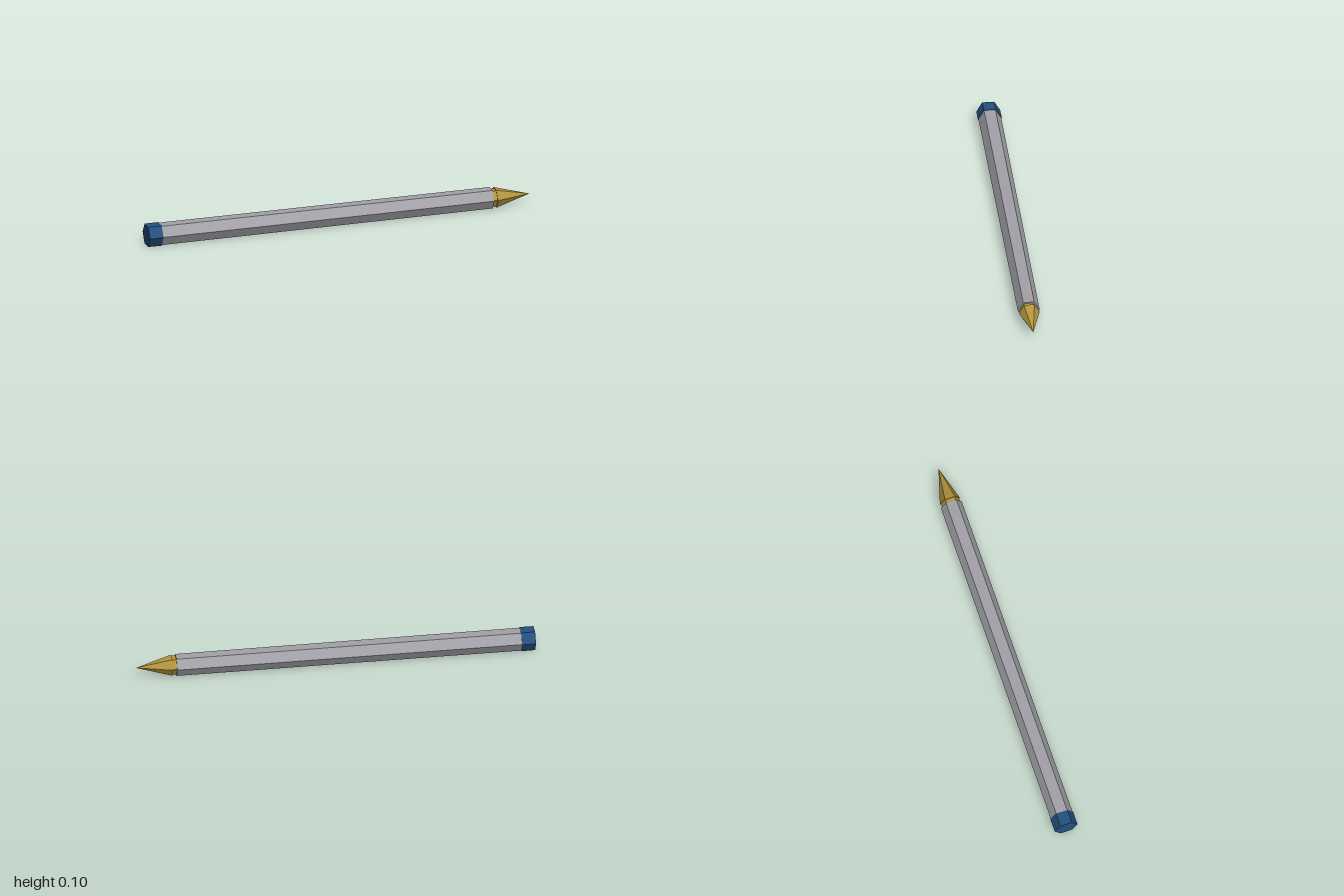
import * as THREE from 'three';

const AXIS_Y = 0.052;

function material(name, color) {
  const m = new THREE.MeshStandardMaterial({ color });
  m.name = name;
  return m;
}

// Six-sided section along x, with a corner pointing to +z and flat facets
function hexSection(name, mat, x0, x1, r0, r1) {
  const indexed = new THREE.CylinderGeometry(r1, r0, x1 - x0, 6);
  const geometry = indexed.toNonIndexed();
  geometry.computeVertexNormals();
  geometry.rotateZ(-Math.PI / 2);
  const mesh = new THREE.Mesh(geometry, mat);
  mesh.name = name;
  mesh.position.set((x0 + x1) / 2, AXIS_Y, 0);
  return mesh;
}

export function createModel() {
  const grey = material('grey metal', 0xa3a2a8);
  const gold = material('gold', 0xb4953f);
  const blue = material('blue', 0x24507f);

  const model = new THREE.Group();
  model.name = 'hexagonalStylus';
  model.add(
    // Cap at the blunt end
    hexSection('endCap', blue, -1, -0.93, 0.0595, 0.06),
    // Long, slightly tapering barrel
    hexSection('barrel', grey, -0.93, 0.8, 0.057, 0.0545),
    // Recessed collar and pointed tip
    hexSection('collar', gold, 0.8, 0.82, 0.047, 0.047),
    hexSection('tip', gold, 0.82, 1, 0.0525, 0)
  );
  return model;
}
